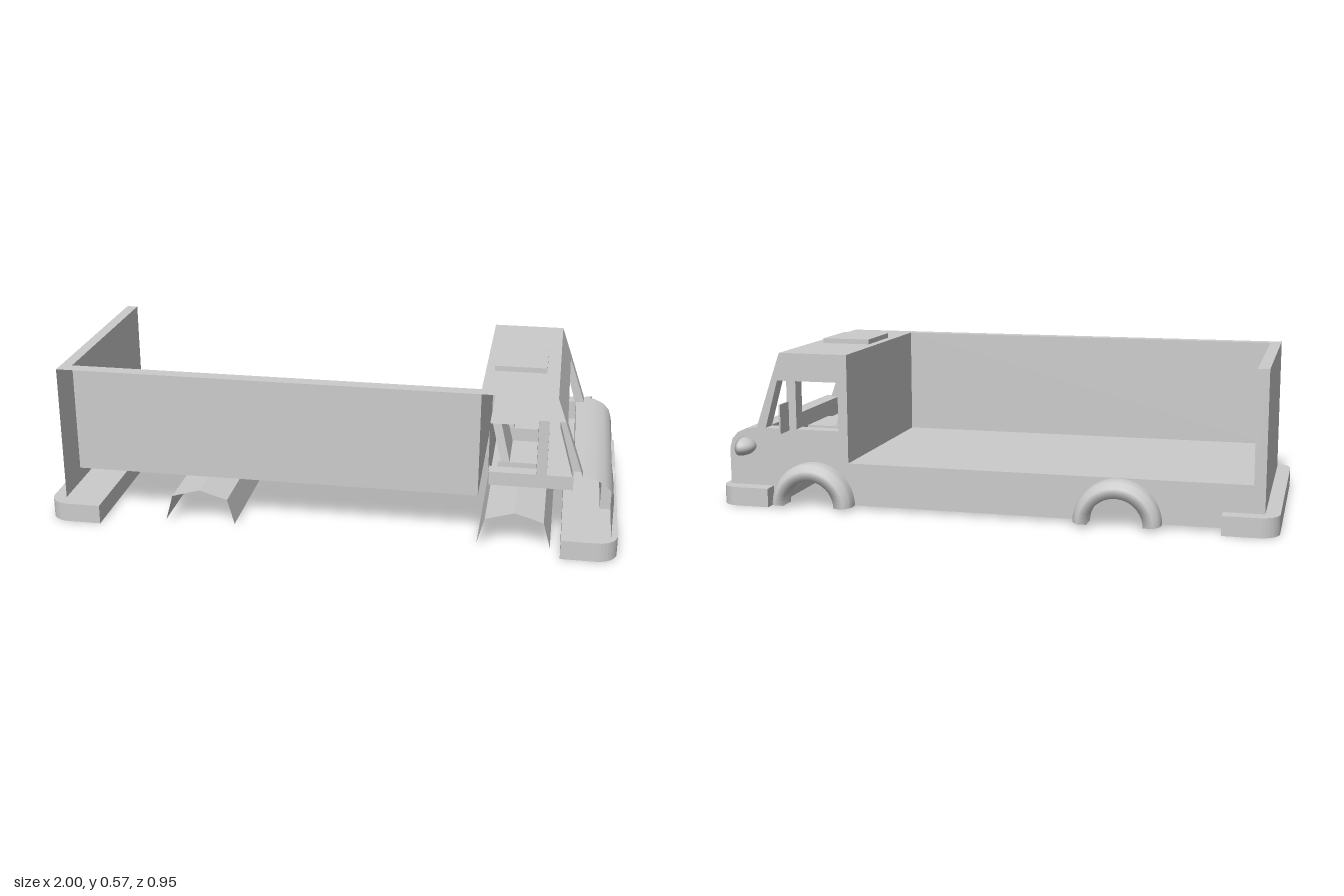
import * as THREE from 'three';

const material = new THREE.MeshStandardMaterial({ color: 0xcccccc, side: THREE.DoubleSide });
const Z0 = -0.355, Z1 = 0.42;      // outer shell
const IN0 = -0.3, IN1 = 0.37;      // inner walls
const GROUND = 0.012;

export function createModel() {
  const model = new THREE.Group();
  const add = (name, geometry) => {
    const mesh = new THREE.Mesh(geometry, material);
    mesh.name = name;
    model.add(mesh);
    return mesh;
  };
  const box = (name, x0, x1, y0, y1, z0, z1) =>
    add(name, new THREE.BoxGeometry(x1 - x0, y1 - y0, z1 - z0))
      .position.set((x0 + x1) / 2, (y0 + y1) / 2, (z0 + z1) / 2);
  const outline = (pts) => new THREE.Shape(pts.map(([x, y]) => new THREE.Vector2(x, y)));

  // Sheet swept along z from an (x, y) profile
  const strip = (name, pts, z0, z1, smooth = false) => {
    const pos = [], index = [];
    pts.forEach(([x, y], i) => {
      pos.push(x, y, z0, x, y, z1);
      const a = 2 * i;
      if (i < pts.length - 1) index.push(a, a + 1, a + 2, a + 1, a + 3, a + 2);
    });
    let g = new THREE.BufferGeometry();
    g.setAttribute('position', new THREE.Float32BufferAttribute(pos, 3));
    g.setIndex(index);
    if (!smooth) g = g.toNonIndexed();
    g.computeVertexNormals();
    return add(name, g);
  };
  // Flat sheet at constant z
  const sheet = (name, shape, z) => {
    add(name, new THREE.ShapeGeometry(shape, 16)).position.z = z;
  };

  // Cab windows
  const windows = [
    [[0.555, 0.28], [0.715, 0.28], [0.715, 0.455], [0.555, 0.455]],
    [[0.75, 0.28], [0.835, 0.28], [0.785, 0.455], [0.75, 0.455]],
  ];

  // Outer side wall with wheel cut-outs
  const wheels = [-0.455, 0.65];
  const side = new THREE.Shape();
  side.moveTo(-0.95, GROUND);
  wheels.forEach((x) => {
    side.lineTo(x - 0.11, GROUND);
    side.absarc(x, GROUND, 0.11, Math.PI, 0, true);
  });
  [[0.81, GROUND], [0.977, GROUND], [0.977, 0.2], [0.967, 0.235], [0.945, 0.26], [0.91, 0.276],
    [0.87, 0.28], [0.81, 0.455], [0.775, 0.555], [0.52, 0.555], [0.52, 0.165], [-0.91, 0.165],
    [-0.91, 0.555], [-0.95, 0.555]].forEach(([x, y]) => side.lineTo(x, y));
  windows.forEach((w) => side.holes.push(outline(w)));
  sheet('sideWall', side, Z0);

  // Open cargo bed
  strip('cargoFloor', [[-0.91, 0.165], [0.52, 0.165]], Z0, IN1);
  strip('cargoFrontWall', [[0.52, 0.165], [0.52, 0.555]], Z0, IN1);
  strip('cargoRearInner', [[-0.91, 0.165], [-0.91, 0.555]], Z0, IN1);
  strip('rearWall', [[-0.95, GROUND], [-0.95, 0.555]], Z0, Z1);
  strip('rearRim', [[-0.95, 0.555], [-0.91, 0.555]], Z0, Z1);
  strip('sideRim', [[-0.91, 0.555], [0.52, 0.555]], IN1, Z1);
  sheet('cargoSideWall', outline([[-0.91, 0.165], [0.52, 0.165], [0.52, 0.555], [-0.91, 0.555]]), IN1);

  // Cab shell, lining and windscreen frame
  strip('cabRoof', [[0.52, 0.555], [0.775, 0.555], [0.81, 0.455]], Z0, Z1);
  strip('cabLining', [[0.81, 0.455], [0.555, 0.455], [0.555, 0.21], [0.84, 0.21], [0.84, 0.28], [0.87, 0.28]], IN0, IN1);
  const liningPanels = [
    [[0.555, 0.21], [0.84, 0.21], [0.84, 0.28], [0.555, 0.28]],
    [[0.715, 0.28], [0.75, 0.28], [0.75, 0.455], [0.715, 0.455]],
    [[0.835, 0.28], [0.87, 0.28], [0.81, 0.455], [0.785, 0.455]],
  ];
  [[IN0, Z0], [IN1, Z1]].forEach(([inner, outer]) => {
    liningPanels.forEach((p) => sheet('cabInnerSide', outline(p), inner));
    windows.forEach((w) => strip('windowReveal', [...w, w[0]], inner, outer));
    strip('windscreenPillar', [[0.81, 0.455], [0.87, 0.28]], inner, outer);
  });
  strip('bonnet', [[0.87, 0.28], [0.91, 0.276], [0.945, 0.26], [0.967, 0.235], [0.977, 0.2], [0.977, 0.05]], Z0, Z1, true);
  box('roofHatch', 0.55, 0.73, 0.515, 0.573, -0.042, 0.177);

  // Rounded grille panel
  const g = new THREE.Shape();
  g.moveTo(-0.162, 0.06);
  g.lineTo(-0.162, 0.16);
  g.quadraticCurveTo(-0.16, 0.215, -0.115, 0.215);
  g.lineTo(0.115, 0.215);
  g.quadraticCurveTo(0.16, 0.215, 0.162, 0.16);
  g.lineTo(0.162, 0.06);
  const grille = add('grille', new THREE.ExtrudeGeometry(g, { depth: 0.043, bevelEnabled: false }));
  grille.rotation.y = Math.PI / 2;
  grille.position.set(0.94, 0, 0.033);

  // Seats: leaning back, narrower at the top
  [0.205, -0.113].forEach((z) => {
    const back = new THREE.BoxGeometry(0.03, 0.145, 0.2);
    const p = back.attributes.position;
    for (let i = 0; i < p.count; i++) {
      const up = p.getY(i) > 0;
      p.setX(i, p.getX(i) + (up ? -0.018 : 0.018));
      if (up) p.setZ(i, p.getZ(i) * 0.86);
    }
    back.computeVertexNormals();
    add('seatBack', back).position.set(0.588, 0.342, z);
    box('seatCushion', 0.58, 0.73, 0.21, 0.27, z - 0.1, z + 0.1);
  });

  // Wheel housings across the chassis, and bulging half-round fenders
  wheels.forEach((x) => {
    const tunnel = [[-0.125, 0.012], [-0.1, 0.103], [0, 0.132], [0.1, 0.103], [0.125, 0.012]];
    strip('wheelHousing', tunnel.map(([px, py]) => [px + x, py]), Z0, Z1);
    const profile = [[0.152, 0], [0.152, 0.03], [0.147, 0.045], [0.13, 0.068], [0.096, 0.068], [0.096, 0]]
      .map(([r, d]) => new THREE.Vector2(r, d));
    const fender = add('fender', new THREE.LatheGeometry(profile, 24, -Math.PI / 2, Math.PI));
    fender.geometry.rotateX(-Math.PI / 2);
    fender.position.set(x, GROUND, Z0);
  });

  // Hollow bumpers with rounded outer corners; turned round for the rear
  const bumperShape = (inset) => {
    const s = new THREE.Shape(), a = 0.81 + inset, b = 1 - inset, w = 0.442 - inset, r = 0.07 - inset;
    s.moveTo(a, -w);
    s.lineTo(b - r, -w);
    s.absarc(b - r, -w + r, r, -Math.PI / 2, 0, false);
    s.absarc(b - r, w - r, r, 0, Math.PI / 2, false);
    s.lineTo(a, w);
    s.closePath();
    return s;
  };
  [['frontBumper', 0], ['rearBumper', Math.PI]].forEach(([name, turn]) => {
    const ring = bumperShape(0);
    ring.holes.push(bumperShape(0.004));
    [[ring, 0.064, 0], [bumperShape(0), 0.004, 0.064]].forEach(([shape, depth, y]) => {
      const geo = new THREE.ExtrudeGeometry(shape, { depth, bevelEnabled: false, curveSegments: 4 });
      geo.rotateX(-Math.PI / 2);
      geo.rotateY(turn);
      add(name, geo).position.set(0, y, 0.031);
    });
  });

  // Mirror and headlamp on the side
  box('wingMirror', 0.732, 0.738, 0.28, 0.385, -0.455, -0.38);
  const lampProfile = [[0, 0.055]];
  for (let i = 0; i <= 8; i++) {
    const a = (i / 8) * Math.PI / 2;
    lampProfile.push([0.052 * Math.cos(a), 0.055 * (1 - Math.sin(a))]);
  }
  lampProfile[1] = [0.052, 0.055];
  const lamp = add('headlamp', new THREE.LatheGeometry(lampProfile.map(([r, d]) => new THREE.Vector2(r, d)), 24));
  lamp.geometry.rotateZ(-Math.PI / 2);
  lamp.scale.y = 0.64;
  lamp.position.set(0.847, 0.223, -0.422);

  return model;
}
